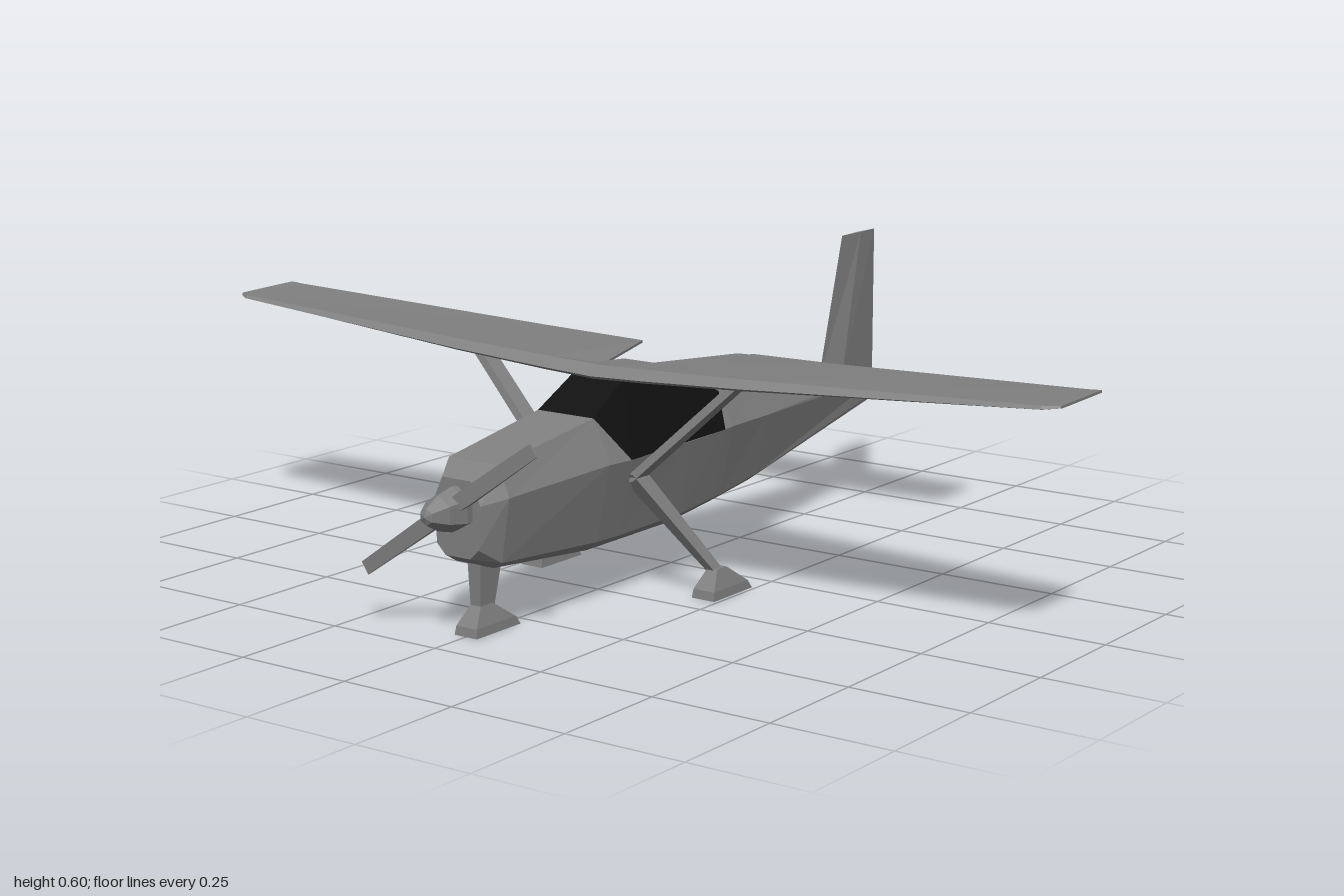
import * as THREE from 'three';
import { ConvexGeometry } from 'three/addons/geometries/ConvexGeometry.js';

const V = (x, y, z) => new THREE.Vector3(x, y, z);

// Flat-shaded skin through equal-length rings of points, capped at both ends
function loft(rings) {
  const tris = [], n = rings[0].length, last = rings[rings.length - 1];
  for (let r = 0; r < rings.length - 1; r++) {
    const a = rings[r], b = rings[r + 1];
    for (let i = 0; i < n; i++) {
      const j = (i + 1) % n;
      tris.push([a[i], a[j], b[j]], [a[i], b[j], b[i]]);
    }
  }
  for (let i = 1; i < n - 1; i++) {
    tris.push([rings[0][0], rings[0][i + 1], rings[0][i]], [last[0], last[i], last[i + 1]]);
  }
  // Turn every face outward if the rings run the other way round
  let volume = 0;
  for (const [a, b, c] of tris) volume += a.dot(b.clone().cross(c));
  if (volume < 0) tris.forEach((t) => t.reverse());
  const g = new THREE.BufferGeometry().setFromPoints(tris.flat());
  g.computeVertexNormals();
  return g;
}

// Horizontal rectangle centred on (x, z)
const rect = (x, y, z, hw, hd) =>
  [V(x - hw, y, z - hd), V(x + hw, y, z - hd), V(x + hw, y, z + hd), V(x - hw, y, z + hd)];

// Right-hand stations mirrored into a full span from -x to +x
const span = (stations, ring) => [
  ...stations.slice().reverse().map((s) => ring(-s[0], ...s.slice(1))),
  ...stations.filter((s) => s[0] > 0).map((s) => ring(...s)),
];

export function createModel() {
  const model = new THREE.Group();
  model.name = 'airplane';
  const paint = new THREE.MeshStandardMaterial({ color: 0x808080 });
  paint.name = 'grey paint';
  const glass = new THREE.MeshStandardMaterial({ color: 0x111111 });
  glass.name = 'black glass';
  const add = (name, geometry, material = paint) => {
    const mesh = new THREE.Mesh(geometry, material);
    mesh.name = name;
    model.add(mesh);
    return mesh;
  };

  // Fuselage: z, then half width and height of top edge, side edge, chine, keel.
  // The top edge drops to the side edge below the cabin windows.
  const sections = [
    [0.68, 0.035, 0.31, 0.056, 0.265, 0.05, 0.18, 0.03, 0.16],
    [0.63, 0.06, 0.335, 0.085, 0.275, 0.065, 0.148, 0.045, 0.135],
    [0.35, 0.068, 0.375, 0.108, 0.288, 0.075, 0.13, 0.05, 0.11],
    [0.28, 0.108, 0.285, 0.108, 0.285, 0.075, 0.128, 0.05, 0.11],
    [0.08, 0.106, 0.285, 0.106, 0.285, 0.075, 0.13, 0.05, 0.11],
    [-0.05, 0.1, 0.285, 0.1, 0.285, 0.07, 0.138, 0.045, 0.12],
    [-0.08, 0.062, 0.355, 0.098, 0.286, 0.068, 0.14, 0.043, 0.122],
    [-0.23, 0.05, 0.333, 0.079, 0.28, 0.055, 0.152, 0.035, 0.136],
    [-0.77, 0.004, 0.272, 0.006, 0.258, 0.006, 0.228, 0.004, 0.22],
  ];
  add('fuselage', loft(sections.map(([z, tw, ty, mw, my, lw, ly, kw, ky]) => [
    V(tw, ty, z), V(-tw, ty, z), V(-mw, my, z), V(-lw, ly, z),
    V(-kw, ky, z), V(kw, ky, z), V(lw, ly, z), V(mw, my, z),
  ])));

  // Cabin windows
  const corners = [[0.068, 0.375, 0.35], [0.108, 0.285, 0.28], [0.1, 0.285, -0.05],
    [0.062, 0.355, -0.08], [0.06, 0.437, 0.24], [0.058, 0.432, 0.085]];
  add('cabinWindows', new ConvexGeometry(
    corners.flatMap(([x, y, z]) => [V(x, y, z), V(-x, y, z)])), glass);

  // Roof behind the wing centre
  add('roof', loft([
    [V(-0.058, 0.43, 0.085), V(0.058, 0.43, 0.085), V(0.056, 0.436, 0.085), V(-0.056, 0.436, 0.085)],
    [V(-0.058, 0.43, 0.25), V(0.058, 0.43, 0.25), V(0.05, 0.452, 0.25), V(-0.05, 0.452, 0.25)],
  ]));

  // Wing: x, leading z, trailing z, underside y, thickness
  const wing = [
    [0, 0.27, 0.14, 0.43, 0.026],
    [0.05, 0.27, 0.16, 0.432, 0.026],
    [0.12, 0.27, -0.065, 0.435, 0.025],
    [0.35, 0.265, -0.035, 0.447, 0.021],
    [0.97, 0.226, 0.042, 0.483, 0.008],
    [1, 0.205, 0.047, 0.486, 0.005],
  ];
  add('wing', loft(span(wing, (x, lead, trail, y, t) => [
    V(x, y + t * 0.25, lead), V(x, y + t, lead - t * 0.9),
    V(x, y + 0.008, trail), V(x, y + 0.003, trail), V(x, y, lead - 0.01),
  ])));

  // Tailplane: x, leading z, trailing z, half thickness
  const tailplane = [
    [0, -0.54, -0.75, 0.01],
    [0.03, -0.545, -0.75, 0.01],
    [0.275, -0.585, -0.735, 0.004],
    [0.3, -0.605, -0.733, 0.003],
  ];
  add('tailplane', loft(span(tailplane, (x, lead, trail, h) => [
    V(x, 0.287, lead), V(x, 0.287 + h, lead - 0.05), V(x, 0.287, trail), V(x, 0.287 - h, lead - 0.05),
  ])));

  // Fin: y, leading z, half thickness
  add('fin', loft([[0.24, -0.54, 0.016], [0.285, -0.55, 0.016], [0.6, -0.64, 0.004]].map(
    ([y, lead, h]) => [V(0, y, lead), V(h, y, lead - 0.07), V(0, y, -0.772), V(-h, y, lead - 0.07)])));

  // Wing struts and main landing gear
  for (const [side, s] of [['left', 1], ['right', -1]]) {
    add(side + 'WingStrut', loft([
      rect(s * 0.095, 0.24, 0.257, 0.012, 0.021), rect(s * 0.32, 0.452, 0.217, 0.012, 0.019)]));
    add(side + 'GearLeg', loft([
      rect(s * 0.09, 0.255, 0.258, 0.02, 0.022), rect(s * 0.214, 0.045, 0.142, 0.01, 0.014)]));
    add(side + 'WheelFairing', fairing(s * 0.215, 0.125));
  }

  // Nose gear
  add('noseGearLeg', loft([rect(0, 0.15, 0.6, 0.016, 0.034), rect(0, 0.045, 0.61, 0.012, 0.02)]));
  add('noseWheelFairing', fairing(0, 0.595));

  // Propeller and spinner
  const blade = [[0, 0.013, 0.007], [0.06, 0.016, 0.006], [0.25, 0.014, 0.002]];
  const propeller = add('propeller', loft(span(blade, (x, h, d) =>
    [V(x, -h, -d), V(x, h, -d), V(x, h, d), V(x, -h, d)])));
  propeller.position.set(0, 0.255, 0.708);
  propeller.rotation.z = 0.605;

  const profile = [[0, 0.66], [0.042, 0.665], [0.044, 0.695], [0.034, 0.735], [0.016, 0.768], [0, 0.774]];
  const spinner = new THREE.LatheGeometry(profile.map(([r, z]) => new THREE.Vector2(r, z)), 6)
    .toNonIndexed();
  spinner.rotateX(Math.PI / 2);
  spinner.computeVertexNormals();
  add('spinner', spinner).position.y = 0.255;

  return model;
}

// Pointed wheel cover standing on the ground
function fairing(x, z) {
  return loft([
    rect(x, 0, z, 0.027, 0.066),
    rect(x, 0.018, z + 0.005, 0.025, 0.058),
    rect(x, 0.056, z + 0.018, 0.012, 0.016),
  ]);
}
